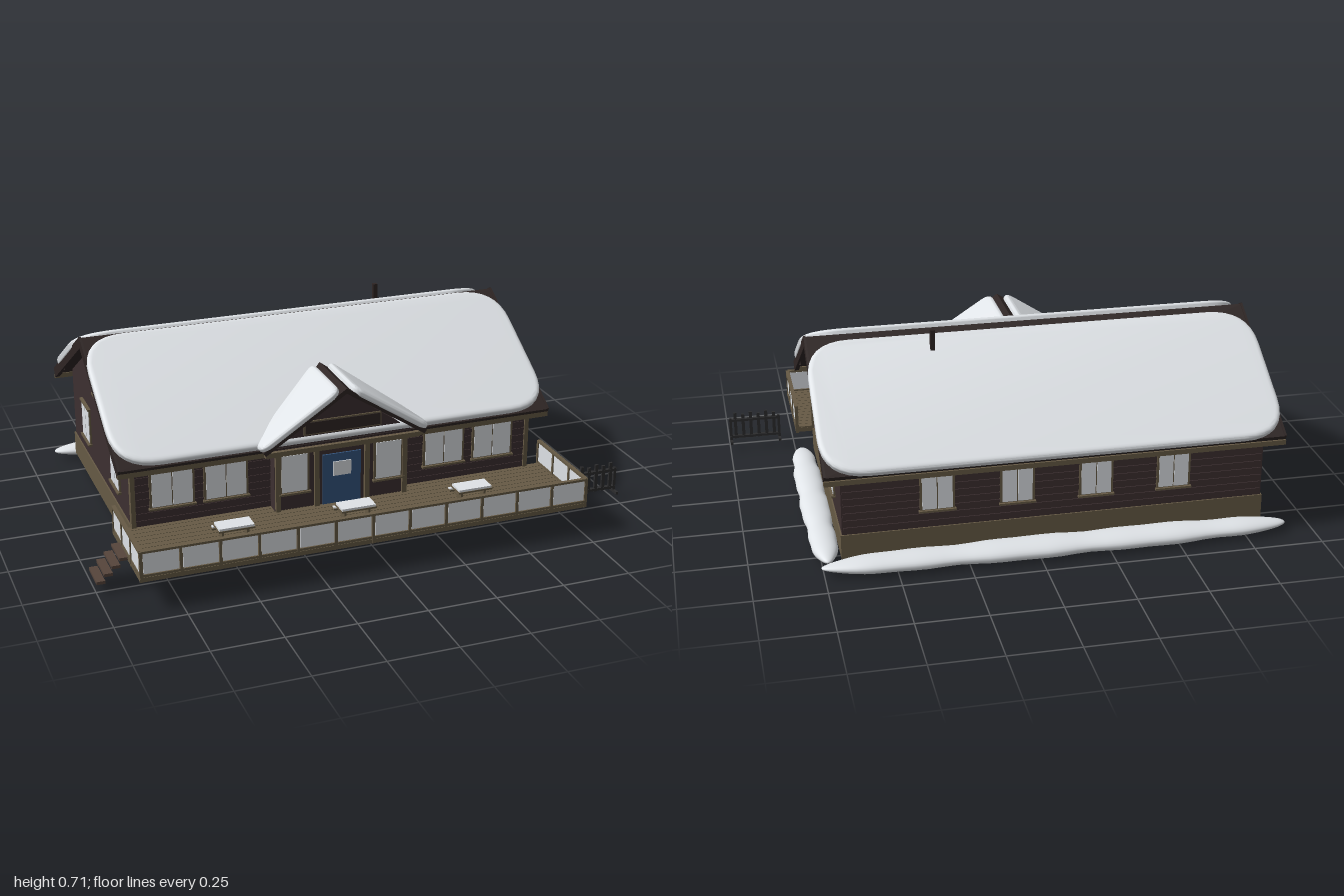
import * as THREE from 'three';
import { toCreasedNormals } from 'three/addons/utils/BufferGeometryUtils.js';

const mat = (name, color, double) => {
  const m = new THREE.MeshStandardMaterial({ color });
  m.name = name;
  if (double) m.side = THREE.DoubleSide;
  return m;
};

export function createModel() {
  const wall = mat('dark brown walls', 0x3c2f30);
  const roofMat = mat('roof boards', 0x2e2524);
  const wood = mat('olive timber', 0x665a45);
  const snow = mat('snow', 0xe6eaee);
  const glass = mat('pale glass', 0xdde1e5);
  const blue = mat('blue door paint', 0x34557f);
  const black = mat('black floor', 0x1c1b1a);
  const tread = mat('stair timber', 0x56453b);
  const dark = mat('dark iron', 0x2c2c2d);

  const model = new THREE.Group();
  model.name = 'chalet';
  const CX = -0.07; // middle of the house

  const add = (parent, name, geo, m, x = 0, y = 0, z = 0) => {
    const mesh = new THREE.Mesh(geo, m);
    mesh.name = name;
    mesh.position.set(x, y, z);
    parent.add(mesh);
    return mesh;
  };
  // box given by its extents
  const box = (parent, name, m, x0, x1, y0, y1, z0, z1) =>
    add(parent, name, new THREE.BoxGeometry(x1 - x0, y1 - y0, z1 - z0), m,
      (x0 + x1) / 2, (y0 + y1) / 2, (z0 + z1) / 2);
  const group = (name, x = 0, y = 0, z = 0, ry = 0, parent = model) => {
    const g = new THREE.Group();
    g.name = name;
    g.position.set(x, y, z);
    g.rotation.y = ry;
    parent.add(g);
    return g;
  };
  const polygon = pts => new THREE.Shape(pts.map(p => new THREE.Vector2(...p)));
  // polygon with rounded corners
  const rounded = (pts, r) => {
    const s = new THREE.Shape();
    const v = pts.map(p => new THREE.Vector2(...p));
    v.forEach((p, i) => {
      const a = v[(i + v.length - 1) % v.length], b = v[(i + 1) % v.length];
      const toward = q => p.clone().lerp(q, Math.min(0.45, r / p.distanceTo(q)));
      const s0 = toward(a), s1 = toward(b);
      if (i) s.lineTo(s0.x, s0.y); else s.moveTo(s0.x, s0.y);
      s.quadraticCurveTo(p.x, p.y, s1.x, s1.y);
    });
    s.closePath();
    return s;
  };
  const extrude = (shape, depth) => new THREE.ExtrudeGeometry(shape, { depth, bevelEnabled: false });
  const snowSlab = (shape, t) => toCreasedNormals(new THREE.ExtrudeGeometry(shape, {
    depth: t - 0.012, bevelThickness: 0.012, bevelSize: 0.018, bevelOffset: -0.018,
    bevelSegments: 4, curveSegments: 8 }), 0.8);

  // Foundation and walls
  box(model, 'floor', black, -0.82, 0.68, 0.025, 0.035, -0.585, 0.325);
  box(model, 'foundation', wood, -0.825, 0.685, 0.035, 0.125, -0.59, 0.33);
  const body = add(model, 'walls', extrude(polygon(
    [[-0.325, 0.125], [0.585, 0.125], [0.585, 0.389], [0.13, 0.66], [-0.325, 0.389]]), 1.5), wall, -0.82);
  body.rotation.y = Math.PI / 2;
  for (let i = 0; i < 9; i++) { // siding boards on the long walls
    const y = 0.13 + i * 0.027;
    box(model, 'sidingBoard', wall, -0.815, 0.675, y, y + 0.022, -0.589, -0.584);
    box(model, 'sidingBoard', wall, -0.815, 0.675, y, y + 0.022, 0.324, 0.328);
  }
  for (const x of [-0.82, 0.68])
    box(model, 'cornerPost', wood, x - 0.008, x + 0.008, 0.125, 0.37, 0.31, 0.334);

  // Main roof: both slopes hang from the ridge
  const slope = Math.atan(0.588), tilt = -(Math.PI / 2 - slope);
  [[0, -0.015, -0.595], [Math.PI, -0.04, -0.607]].forEach(([ry, top, bottom]) => {
    const side = group('roofSlope', CX, 0.68, -0.13, ry);
    const plane = group('roofPlane', 0, 0, 0, 0, side);
    plane.rotation.x = tilt;
    box(plane, 'roofBoards', roofMat, -0.81, 0.81, -0.6, 0, -0.02, 0);
    for (let i = 0; i <= 18; i++) // rafters
      box(plane, 'rafter', roofMat, -0.806 + i * 0.0889, -0.794 + i * 0.0889, -0.595, -0.45, -0.034, -0.02);
    for (const x of [-0.81, 0.802]) box(plane, 'bargeBoard', roofMat, x, x + 0.008, -0.6, 0, -0.034, 0.004);
    add(plane, 'roofSnow', snowSlab(rounded(
      [[-0.815, bottom], [0.815, bottom], [0.815, top], [-0.815, top]], 0.16), 0.022), snow, 0, 0, 0.004);
  });
  box(model, 'frontEaveBeam', wood, -0.88, 0.74, 0.345, 0.364, 0.36, 0.38);
  box(model, 'backEaveBeam', wood, -0.88, 0.74, 0.342, 0.36, -0.645, -0.63);
  box(model, 'chimney', roofMat, 0.292, 0.308, 0.6, 0.715, -0.25, -0.234);

  // Entrance porch and its gable
  box(model, 'porchWalls', wall, -0.32, 0.18, 0.125, 0.365, 0.32, 0.374);
  for (const x of [-0.31, -0.165, 0.025, 0.17])
    box(model, 'porchPost', wood, x - 0.009, x + 0.009, 0.13, 0.365, 0.366, 0.386);
  add(model, 'porchGable', extrude(polygon([[-0.28, 0.365], [0.28, 0.365], [0, 0.56]]), 0.235), wall, CX, 0, 0.15);
  box(model, 'porchBeam', wood, CX - 0.29, CX + 0.29, 0.35, 0.368, 0.372, 0.4);
  box(model, 'signFrame', wood, CX - 0.145, CX + 0.145, 0.412, 0.464, 0.385, 0.39);
  box(model, 'signBoard', roofMat, CX - 0.14, CX + 0.14, 0.417, 0.459, 0.385, 0.393);
  for (const s of [1, -1]) {
    const side = group('porchRoof', CX, 0.582, 0, s * Math.PI / 2);
    const plane = group('porchRoofPlane', 0, 0, 0, 0, side);
    plane.rotation.x = -(Math.PI / 2 - Math.atan(0.65));
    const quad = (top, low, zTop, zLow, zFront) => {
      const p = [[-s * zFront, low], [-s * zLow, low], [-s * zTop, top], [-s * zFront, top]];
      return s > 0 ? p.reverse() : p;
    };
    add(plane, 'porchRoofBoards', extrude(polygon(quad(0, -0.365, 0.15, 0.36, 0.425)), 0.016), roofMat, 0, 0, -0.016);
    add(plane, 'porchRoofSnow', snowSlab(rounded(quad(-0.022, -0.37, 0.15, 0.345, 0.43), 0.045), 0.018), snow, 0, 0, 0.004);
  }

  // Windows, each built facing +z about its centre
  const windowAt = (x, y, z, w, h, ry = 0, panes = 2) => {
    const g = group('window', x, y, z, ry);
    box(g, 'frame', wood, -w / 2 - 0.006, w / 2 + 0.006, -h / 2 - 0.006, h / 2 + 0.006, -0.004, 0.006);
    const pw = w / panes;
    for (let i = 0; i < panes; i++)
      box(g, 'pane', glass, -w / 2 + i * pw + 0.002, -w / 2 + (i + 1) * pw - 0.002, -h / 2, h / 2, 0, 0.008);
    box(g, 'sill', wood, -w / 2 - 0.01, w / 2 + 0.01, -h / 2 - 0.01, -h / 2 - 0.003, 0, 0.015);
    box(g, 'lintel', wood, -w / 2 - 0.01, w / 2 + 0.01, h / 2 + 0.003, h / 2 + 0.01, 0, 0.012);
  };
  for (const s of [-1, 1]) {
    windowAt(CX + s * 0.61, 0.27, 0.328, 0.15, 0.14);
    windowAt(CX + s * 0.415, 0.27, 0.328, 0.15, 0.14);
    windowAt(CX + s * 0.178, 0.27, 0.374, 0.1, 0.14, 0, 1);
    for (const d of [0.14, 0.42]) windowAt(CX + s * d, 0.26, -0.588, 0.11, 0.125, Math.PI);
    const x = CX + s * 0.75, ry = s * Math.PI / 2;
    windowAt(x, 0.26, 0.097, 0.115, 0.13, ry);
    windowAt(x, 0.26, -0.353, 0.115, 0.13, ry);
    windowAt(x, 0.492, -0.13, 0.105, 0.092, ry);
  }

  // Front door
  box(model, 'door', blue, CX - 0.072, CX + 0.072, 0.13, 0.322, 0.37, 0.38);
  box(model, 'doorPane', glass, CX - 0.034, CX + 0.034, 0.238, 0.292, 0.375, 0.384);

  // Terrace deck
  box(model, 'deck', wood, -0.89, 0.75, 0.11, 0.126, 0.32, 0.685);
  for (let i = 0; i < 13; i++)
    box(model, 'deckPlank', wood, -0.89, 0.75, 0.126, 0.131, 0.321 + i * 0.028, 0.347 + i * 0.028);

  // Railing run along local +x
  const railing = (name, x, z, ry, length, n) => {
    const g = group(name, x, 0.11, z, ry), step = length / n;
    for (let i = 0; i <= n; i++)
      box(g, 'railPost', wood, i * step - 0.005, i * step + 0.005, 0, 0.11, -0.006, 0.006);
    for (let i = 0; i < n; i++)
      box(g, 'railPanel', glass, i * step + 0.007, (i + 1) * step - 0.007, 0.028, 0.102, -0.003, 0.003);
    box(g, 'topRail', wood, 0, length, 0.104, 0.112, -0.007, 0.007);
    box(g, 'bottomRail', wood, 0, length, 0.018, 0.026, -0.005, 0.005);
  };
  railing('frontRailing', -0.885, 0.68, 0, 1.63, 12);
  railing('rightRailing', -0.885, 0.68, Math.PI / 2, 0.365, 3);
  railing('leftRailing', 0.745, 0.68, Math.PI / 2, 0.365, 3);

  // Snowy picnic tables
  for (const x of [-0.445, 0, 0.445]) {
    const t = group('picnicTable', CX + x, 0.13, 0.518);
    box(t, 'tableTop', wood, -0.065, 0.065, 0.042, 0.048, -0.034, 0.034);
    box(t, 'tableSnow', snow, -0.063, 0.063, 0.048, 0.056, -0.032, 0.032);
    for (const z of [-0.052, 0.052]) {
      box(t, 'bench', wood, -0.067, 0.067, 0.02, 0.026, z - 0.012, z + 0.012);
      box(t, 'benchSnow', snow, -0.065, 0.065, 0.026, 0.03, z - 0.008, z + 0.008);
    }
    for (const lx of [-0.045, 0.045]) {
      box(t, 'tableLeg', wood, lx - 0.004, lx + 0.004, 0, 0.042, -0.015, 0.015);
      box(t, 'benchBearer', wood, lx - 0.004, lx + 0.004, 0.013, 0.02, -0.06, 0.06);
    }
  }

  // Side steps
  for (let i = 0; i < 4; i++) {
    const x = -1 + i * 0.027, y = 0.037 + i * 0.025;
    box(model, 'stairTread', tread, x, x + 0.03, y, y + 0.011, 0.402, 0.518);
  }

  // Ski rack
  const rack = group('skiRack', 0.9, 0.03, 0.455);
  for (const x of [-0.094, 0.094]) {
    box(rack, 'rackFoot', dark, x - 0.005, x + 0.005, 0, 0.01, -0.03, 0.03);
    box(rack, 'rackPost', dark, x - 0.005, x + 0.005, 0, 0.1, -0.005, 0.005);
  }
  for (const y of [0.018, 0.088]) box(rack, 'rackBar', dark, -0.098, 0.098, y, y + 0.009, -0.007, 0.007);
  for (let i = 0; i < 6; i++) {
    const x = -0.075 + i * 0.03;
    box(rack, 'ski', dark, x - 0.006, x + 0.006, 0.015, 0.115 + 0.008 * (i % 2), -0.003, 0.006);
  }

  // Snow banks along the ground: long capsules, flattened and gently uneven
  const bank = (name, length, half, x, z, ry) => {
    const g = new THREE.CapsuleGeometry(1, 6, 10, 28, 24);
    const p = g.attributes.position;
    for (let i = 0; i < p.count; i++) {
      const t = p.getY(i) / 4;
      const k = (1 - 0.25 * t * t) * (1 + 0.06 * Math.sin(t * 11) + 0.04 * Math.sin(t * 23 + 1));
      p.setXYZ(i, t * length / 2, 0.032 + p.getX(i) * 0.031 * Math.min(k, 1.03), p.getZ(i) * half * k);
    }
    // the length axis moved from y to x, which mirrors the surface: turn faces back
    const id = g.index.array;
    for (let i = 0; i < id.length; i += 3) [id[i], id[i + 1]] = [id[i + 1], id[i]];
    // winding is restored by flipping the cross axis as well
    for (let i = 0; i < p.count; i++) p.setZ(i, -p.getZ(i));
    for (let i = 0; i < id.length; i += 3) [id[i], id[i + 1]] = [id[i + 1], id[i]];
    g.computeVertexNormals();
    add(model, name, g, snow, x, 0, z).rotation.y = ry;
  };
  bank('backSnowBank', 1.66, 0.062, CX, -0.635, 0);
  bank('sideSnowBank', 0.93, 0.052, 0.732, -0.135, Math.PI / 2);
  return model;
}
